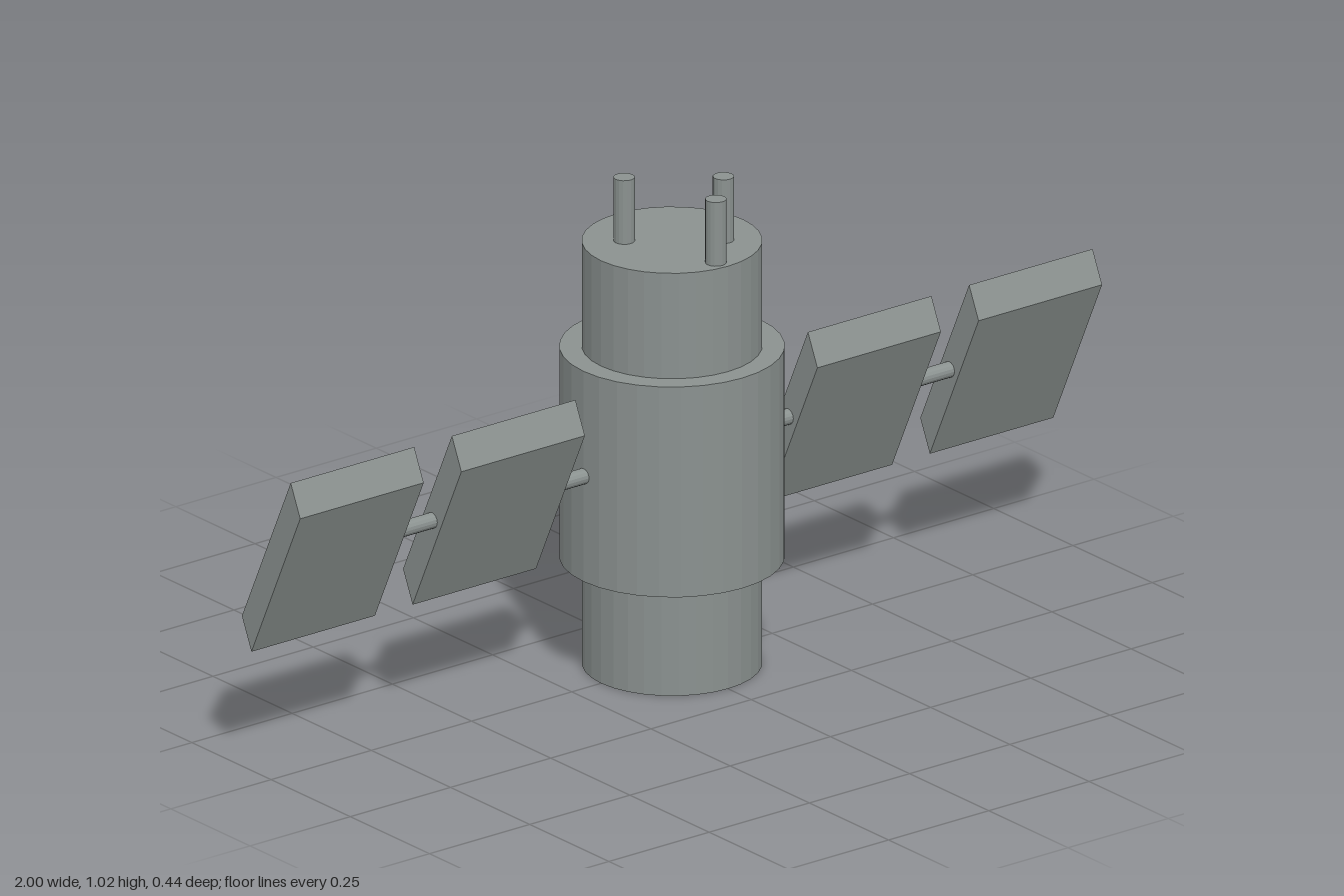
import * as THREE from 'three';

const SIDES = 32;
const ROD_Y = 0.447;

export function createModel() {
  const model = new THREE.Group();
  model.name = 'satellite';

  const grey = new THREE.MeshStandardMaterial({ color: 0x8a918f });
  grey.name = 'hull grey';
  grey.flatShading = true;
  const blue = new THREE.MeshStandardMaterial({ color: 0x383563 });
  blue.name = 'solar cell blue';

  // Upright cylinder between two heights
  function cylinder(name, radius, y0, y1, x = 0, z = 0, sides = SIDES) {
    const mesh = new THREE.Mesh(new THREE.CylinderGeometry(radius, radius, y1 - y0, sides), grey);
    mesh.position.set(x, (y0 + y1) / 2, z);
    mesh.name = name;
    model.add(mesh);
  }

  // Body: narrow core with a wide middle section
  cylinder('core', 0.177, 0, 0.89);
  cylinder('middleSection', 0.221, 0.225, 0.668);

  // Antennas on the top
  for (const [x, z] of [[-0.075, -0.056], [0.08, 0.061], [-0.006, 0.146]]) {
    cylinder('antenna', 0.021, 0.87, 1.024, x, z, 16);
  }

  // Slanted panel: a unit box sheared into a parallelogram section
  const panelGeometry = new THREE.BoxGeometry(0.308, 1, 1);
  const p = panelGeometry.attributes.position;
  for (let i = 0; i < p.count; i++) {
    const along = p.getY(i), depth = p.getZ(i);
    p.setY(i, along * 0.328 - depth * 0.066);
    p.setZ(i, along * 0.154 + depth * 0.03);
  }
  panelGeometry.computeVertexNormals();
  const panelMaterials = [grey, grey, grey, grey, grey, blue]; // cells on the back face

  // Wings: a rod carrying two panels on each side
  for (const side of [1, -1]) {
    const wing = new THREE.Group();
    wing.name = side > 0 ? 'leftWing' : 'rightWing';
    wing.position.y = ROD_Y;

    const rod = new THREE.Mesh(new THREE.CylinderGeometry(0.016, 0.016, 0.6, 16), grey);
    rod.rotation.z = Math.PI / 2;
    rod.position.x = side * 0.45;
    rod.name = 'rod';
    wing.add(rod);

    for (const x of [0.444, 0.846]) {
      const panel = new THREE.Mesh(panelGeometry, panelMaterials);
      panel.position.x = side * x;
      panel.name = 'solarPanel';
      wing.add(panel);
    }
    model.add(wing);
  }

  return model;
}
